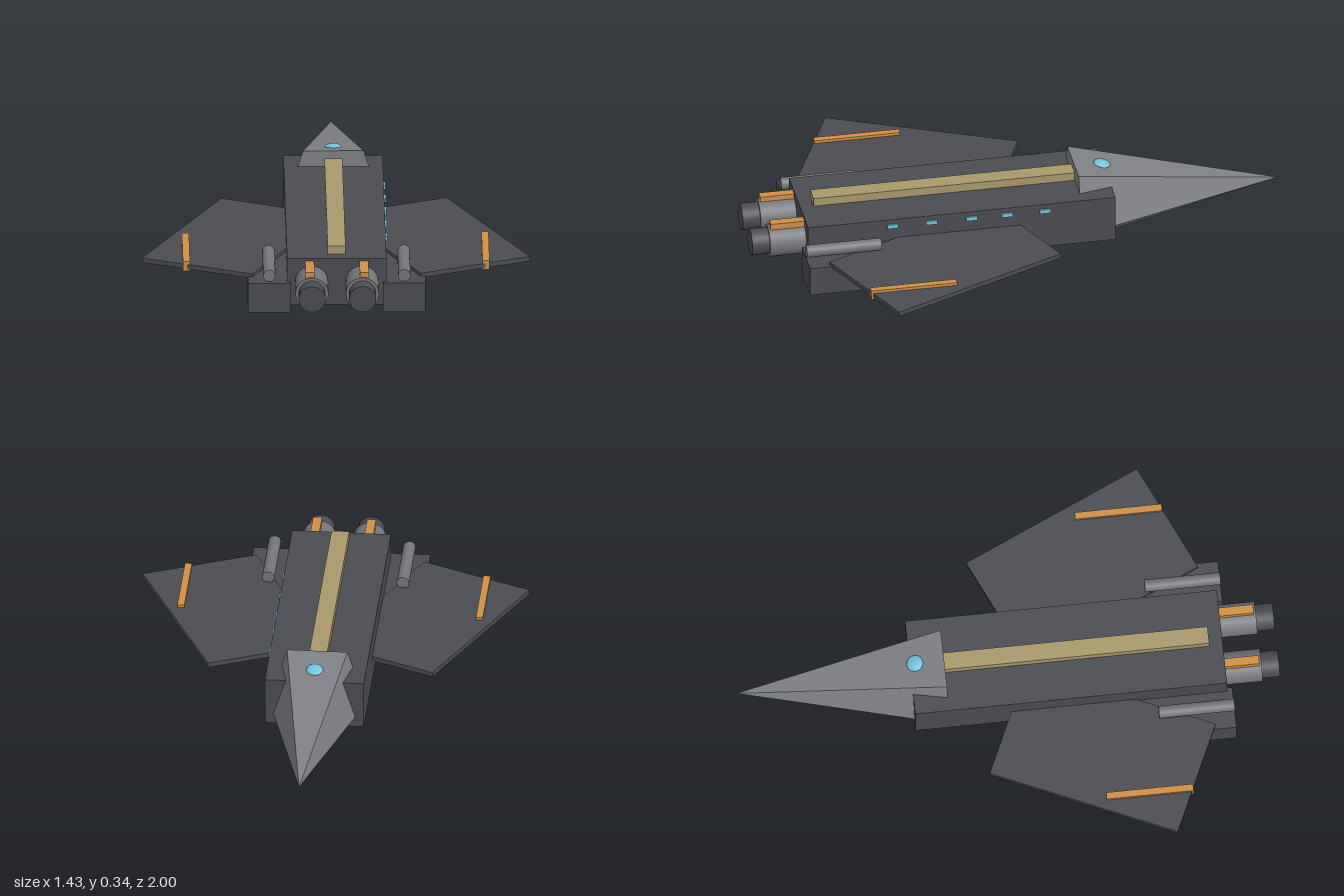
import * as THREE from 'three';

const mat = (name, color, flatShading = false) => {
  const m = new THREE.MeshStandardMaterial({ color, flatShading });
  m.name = name;
  return m;
};

export function createModel() {
  const hull = mat('dark hull', 0x4b4b53);
  const grey = mat('nose grey', 0x7e8085, true);
  const metal = mat('engine grey', 0x74767a);
  const gold = mat('spine gold', 0xa8986a);
  const orange = mat('orange trim', 0xd08f45);
  const blue = mat('blue glass', 0x74c4dc);

  const model = new THREE.Group();
  model.name = 'spacecraft';

  const add = (name, geometry, material, x, y, z) => {
    const mesh = new THREE.Mesh(geometry, material);
    mesh.name = name;
    mesh.position.set(x, y, z);
    model.add(mesh);
    return mesh;
  };
  // Box given by its limits on each axis
  const box = (name, material, [x0, x1], [y0, y1], [z0, z1]) =>
    add(name, new THREE.BoxGeometry(x1 - x0, y1 - y0, z1 - z0), material,
      (x0 + x1) / 2, (y0 + y1) / 2, (z0 + z1) / 2);
  // Cylinder lying along z
  const rod = (name, material, r, x, y, z0, z1) =>
    add(name, new THREE.CylinderGeometry(r, r, z1 - z0, 24).rotateX(Math.PI / 2),
      material, x, y, (z0 + z1) / 2);

  // Body and raised spine
  box('fuselage', hull, [-0.183, 0.183], [0.103, 0.283], [-0.355, 0.8]);
  box('spine', gold, [-0.033, 0.033], [0.27, 0.315], [-0.25, 0.75]);

  // Five-sided nose, one corner down, tip at the far end
  const nose = new THREE.ConeGeometry(0.19, 0.77, 5, 1, false, Math.PI).rotateX(-Math.PI / 2);
  add('nose', nose, grey, 0, 0.191, -0.615);

  // Small canopy, tilted with the top of the nose
  const canopy = add('canopy', new THREE.SphereGeometry(0.032, 12, 8), blue, 0, 0.323, -0.338);
  canopy.scale.y = 0.4;
  canopy.rotation.x = -0.2;

  // Windows along one flank
  for (const z of [0.482, 0.337, 0.186, 0.053, -0.09]) {
    box('window', blue, [0.181, 0.19], [0.248, 0.264], [z - 0.021, z + 0.021]);
  }

  for (const s of [-1, 1]) {
    // Slanted rectangular wing
    const wing = add('wing', new THREE.BoxGeometry(0.445, 0.018, 0.73), hull, s * 0.3625, 0.196, 0.32);
    wing.rotation.y = s * 0.424;

    const strip = add('wingStrip', new THREE.BoxGeometry(0.026, 0.036, 0.322), orange, s * 0.552, 0.198, 0.475);
    strip.name = s > 0 ? 'leftWingStrip' : 'rightWingStrip';

    // Pod below the wing and gun above it
    add('pod', new THREE.BoxGeometry(0.157, 0.113, 0.41), hull, s * 0.2485, 0.137, 0.615);
    rod('gun', metal, 0.023, s * 0.249, 0.223, 0.54, 0.82);

    // Engine, nozzle and top trim
    rod('engine', metal, 0.061, s * 0.093, 0.193, 0.78, 0.935);
    rod('nozzle', hull, 0.05, s * 0.093, 0.193, 0.93, 1.0);
    add('engineTrim', new THREE.BoxGeometry(0.033, 0.03, 0.13), orange, s * 0.1, 0.258, 0.862);
  }
  return model;
}
